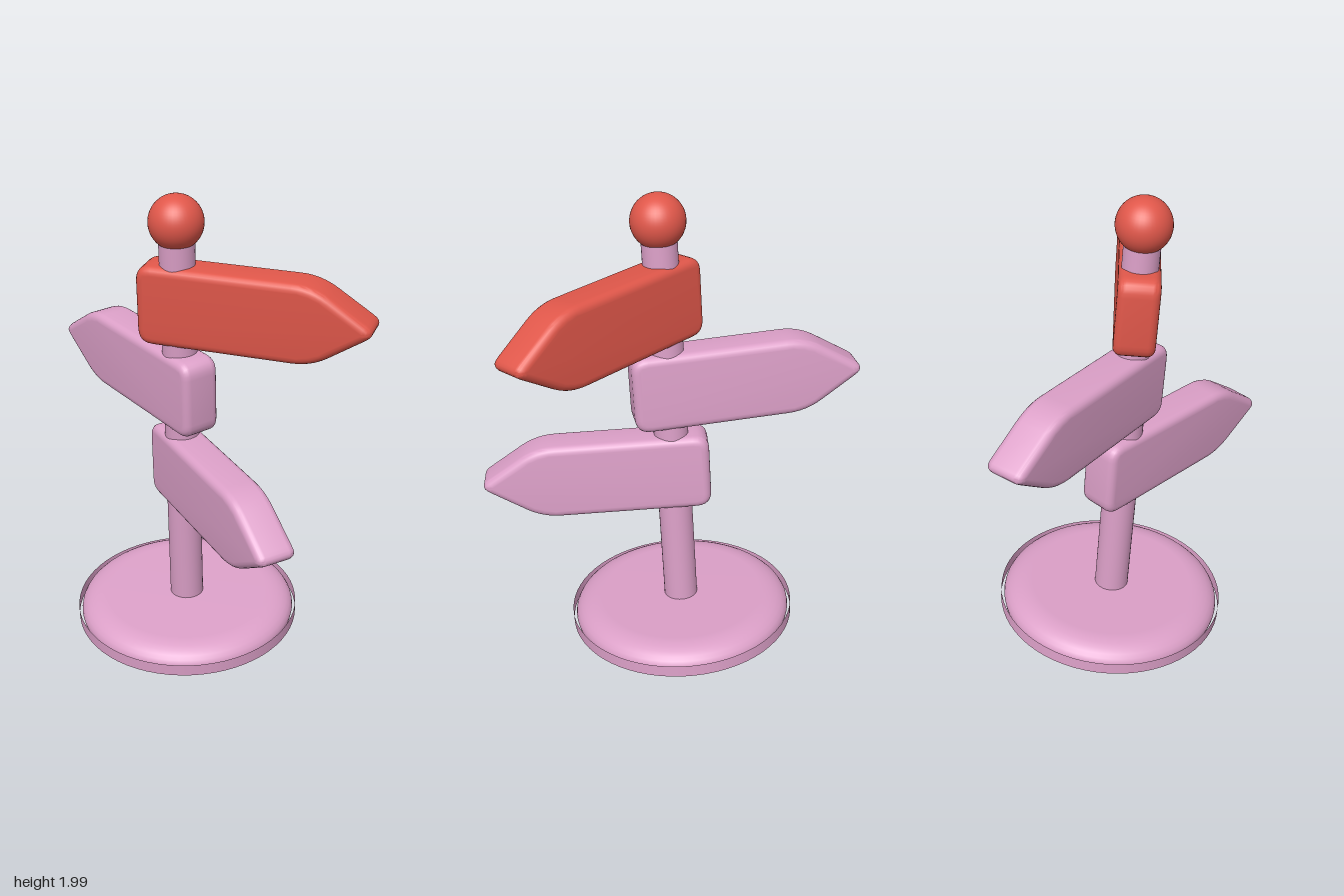
import * as THREE from 'three';
import { toCreasedNormals } from 'three/addons/utils/BufferGeometryUtils.js';

const pink = new THREE.MeshStandardMaterial({ color: 0xdca0c8 });
pink.name = 'pink paint';
const red = new THREE.MeshStandardMaterial({ color: 0xe0574a });
red.name = 'red paint';
const pinkBand = new THREE.MeshStandardMaterial({ color: 0xdca0c8, side: THREE.DoubleSide });
pinkBand.name = 'pink paint, two-sided';

// Closed polygon shape whose corners [x, y, cut] are rounded off
function roundedShape(corners) {
  const shape = new THREE.Shape();
  const n = corners.length;
  corners.forEach(([x, y, cut], i) => {
    const p = new THREE.Vector2(x, y);
    const toward = (j) => {
      const q = new THREE.Vector2(corners[j][0], corners[j][1]);
      return q.sub(p).setLength(cut).add(p);
    };
    const a = toward((i + n - 1) % n);
    const b = toward((i + 1) % n);
    if (i === 0) shape.moveTo(a.x, a.y);
    else shape.lineTo(a.x, a.y);
    shape.quadraticCurveTo(x, y, b.x, b.y);
  });
  shape.closePath();
  return shape;
}

// Thick arrow board with soft edges, pointing along +x from the post
function arrowGeometry() {
  const h = 0.166, depth = 0.165, bevel = 0.032;
  const shape = roundedShape([
    [-0.153, -h, 0.065],
    [0.565, -h, 0.08],
    [0.82, 0, 0.055],
    [0.565, h, 0.08],
    [-0.153, h, 0.065],
  ]);
  const geo = new THREE.ExtrudeGeometry(shape, {
    depth: depth - 2 * bevel,
    bevelEnabled: true,
    bevelThickness: bevel,
    bevelSize: bevel,
    bevelOffset: -bevel,
    bevelSegments: 5,
    curveSegments: 6,
  });
  geo.translate(0, 0, -(depth - 2 * bevel) / 2);
  return toCreasedNormals(geo, 0.6);
}

// Disc profile with an elliptical edge
function baseProfile() {
  const flat = 0.35, bulge = 0.12, half = 0.072;
  const pts = [new THREE.Vector2(0, -half)];
  for (let i = 0; i <= 14; i++) {
    const a = -Math.PI / 2 + (Math.PI * i) / 14;
    pts.push(new THREE.Vector2(flat + bulge * Math.cos(a), half * Math.sin(a)));
  }
  pts.push(new THREE.Vector2(0, half));
  return pts;
}

export function createModel() {
  const group = new THREE.Group();
  group.name = 'signpost';

  // Everything leans forward about the centre of the base
  const lean = new THREE.Group();
  lean.name = 'leaningPost';
  lean.position.set(-0.075, 0.108, -0.108);
  lean.rotation.x = 0.08;
  group.add(lean);

  const add = (name, geometry, material, y) => {
    const mesh = new THREE.Mesh(geometry, material);
    mesh.name = name;
    mesh.position.y = y;
    lean.add(mesh);
    return mesh;
  };

  // Base disc and the thin band around it
  add('base', new THREE.LatheGeometry(baseProfile(), 64), pink, 0);
  add('baseBand', new THREE.CylinderGeometry(0.483, 0.483, 0.052, 64, 1, true), pinkBand, 0);

  // Post and ball finial
  add('post', new THREE.CylinderGeometry(0.072, 0.072, 1.75, 32), pink, 0.875);
  add('finial', new THREE.SphereGeometry(0.11, 40, 28), red, 1.788);

  // Arrow boards turned to different directions
  const arrow = arrowGeometry();
  const boards = [
    ['topArrow', red, 1.452, -0.1],
    ['middleArrow', pink, 1.08, Math.PI - 0.7],
    ['lowerArrow', pink, 0.705, -0.838],
  ];
  for (const [name, material, y, turn] of boards) {
    add(name, arrow, material, y).rotation.y = turn;
  }
  return group;
}
